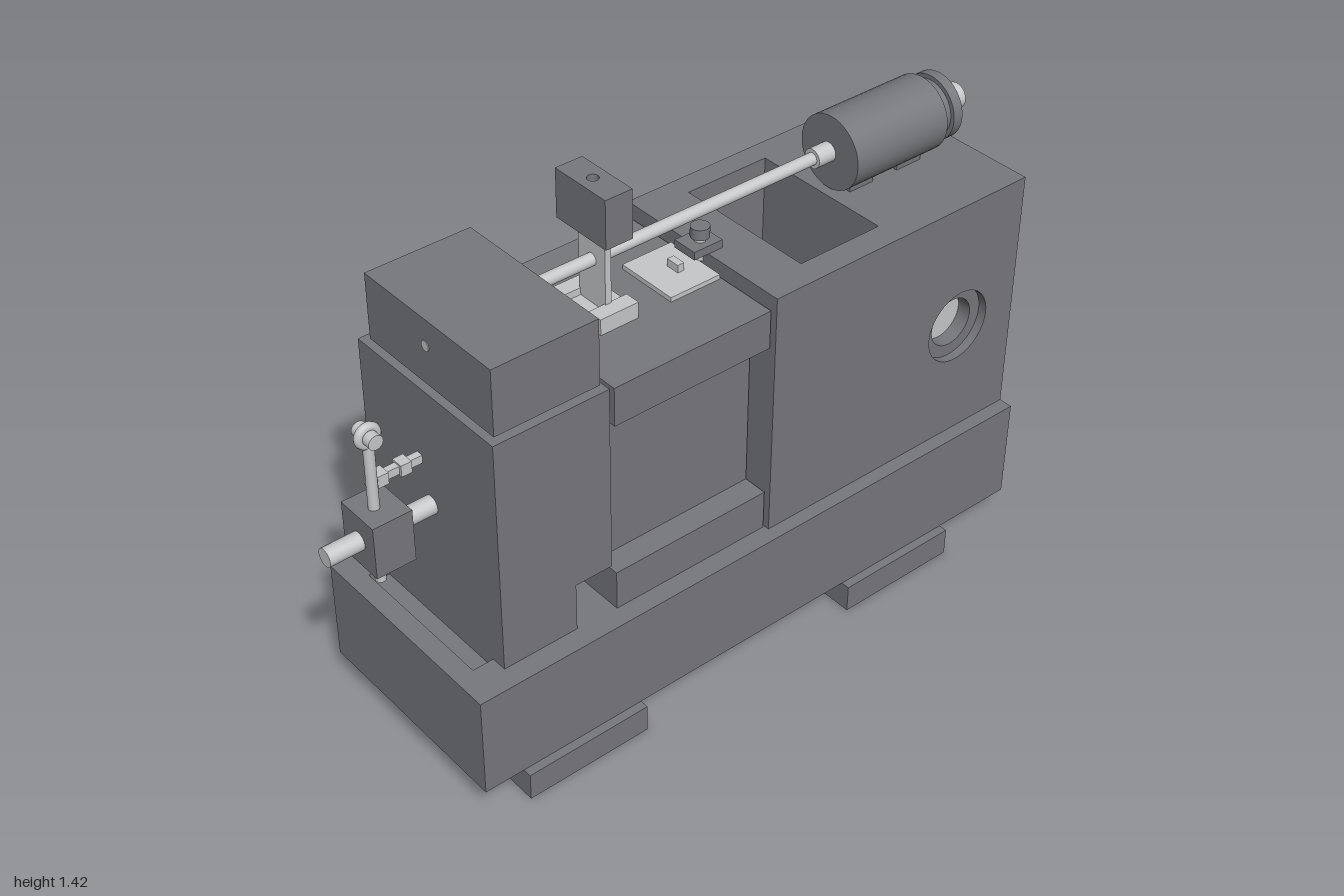
import * as THREE from 'three';

export function createModel() {
  const model = new THREE.Group();
  model.name = 'machine';
  const dark = new THREE.MeshStandardMaterial({ color: 0x77787c });
  dark.name = 'dark grey casing';
  const light = new THREE.MeshStandardMaterial({ color: 0xc6c8c9 });
  light.name = 'light steel';

  const add = (name, geo, mat) => {
    const m = new THREE.Mesh(geo, mat);
    m.name = name;
    model.add(m);
    return m;
  };
  // Box given by its extents
  const box = (name, mat, x0, x1, y0, y1, z0, z1) =>
    add(name, new THREE.BoxGeometry(x1 - x0, y1 - y0, z1 - z0), mat)
      .position.set((x0 + x1) / 2, (y0 + y1) / 2, (z0 + z1) / 2);
  // Cylinder along an axis from a to b; p and q are the other two coordinates in xyz order
  const rod = (name, mat, axis, r, a, b, p, q) => {
    const g = new THREE.CylinderGeometry(r, r, b - a, 40);
    const m = add(name, g, mat), c = (a + b) / 2;
    if (axis === 'x') { g.rotateZ(-Math.PI / 2); m.position.set(c, p, q); }
    if (axis === 'y') m.position.set(p, c, q);
    if (axis === 'z') { g.rotateX(Math.PI / 2); m.position.set(p, q, c); }
  };
  const rect = (C, x0, x1, y0, y1) => {
    const s = new C();
    s.moveTo(x0, y0); s.lineTo(x1, y0); s.lineTo(x1, y1); s.lineTo(x0, y1); s.closePath();
    return s;
  };
  const disc = (C, x, y, r) => {
    const s = new C();
    s.absarc(x, y, r, 0, Math.PI * 2, false);
    return s;
  };
  const plate = (outline, holes, depth) => {
    outline.holes.push(...holes);
    return new THREE.ExtrudeGeometry(outline, { depth, bevelEnabled: false, curveSegments: 32 });
  };
  const { Shape, Path } = THREE;
  const axisZ = 0.02;

  // Feet, each with a bolt hole underneath
  for (const [x0, x1] of [[-0.7, -0.33], [0.365, 0.735]]) {
    const g = plate(rect(Shape, x0, x1, -0.37, 0.32), [disc(Path, (x0 + x1) / 2, -axisZ, 0.016)], 0.08);
    add('foot', g.rotateX(-Math.PI / 2), dark);
    rod('footBolt', light, 'y', 0.0155, 0.01, 0.08, (x0 + x1) / 2, axisZ);
  }

  // Base with a shallow tray at its end
  box('base', dark, -0.815, 0.98, 0.08, 0.345, -0.29, 0.345);
  const rim = plate(rect(Shape, -0.815, 0.98, -0.345, 0.29), [rect(Path, -0.76, -0.5, -0.24, 0.2)], 0.03);
  add('baseRim', rim.rotateX(-Math.PI / 2), dark).position.y = 0.345;

  // End column with a front lower notch, and the head box above it
  box('columnUpper', dark, -0.7, -0.37, 0.515, 1.05, -0.245, 0.285);
  box('columnLower', dark, -0.7, -0.48, 0.345, 0.515, -0.245, 0.285);
  box('columnLowerBack', dark, -0.48, -0.37, 0.345, 0.515, -0.245, 0.16);
  box('headSpacer', dark, -0.67, -0.4, 1.05, 1.06, -0.2, 0.255);
  box('headBox', dark, -0.685, -0.385, 1.06, 1.245, -0.215, 0.27);
  rod('headPlug', light, 'x', 0.014, -0.687, -0.68, 1.17, axisZ);
  for (const y of [0.8, 0.64]) rod('columnBolt', light, 'z', 0.02, -0.285, -0.245, -0.43, y);

  // Discharge chute at the back
  box('chuteFloor', dark, -0.48, -0.37, 0.38, 0.392, -0.31, -0.245);
  for (const x of [-0.48, -0.382]) box('chuteSide', dark, x, x + 0.012, 0.392, 0.5, -0.31, -0.245);

  // Middle section: waist between two wider slabs
  box('middleBottomSlab', dark, -0.36, 0.12, 0.375, 0.49, -0.25, 0.29);
  box('middleWaist', dark, -0.36, 0.12, 0.49, 0.94, -0.18, 0.22);
  box('middleTopSlab', dark, -0.36, 0.12, 0.94, 1.05, -0.25, 0.29);
  rod('columnFlange', dark, 'x', 0.145, -0.37, -0.36, 0.715, axisZ);
  for (const y of [0.86, 0.72]) rod('sideBolt', light, 'x', 0.018, 0.095, 0.125, y, -0.21);

  // Gearbox: side masses around an open pocket, bored front, framed back
  box('gearboxInnerSide', dark, 0.125, 0.27, 0.375, 1.09, -0.19, 0.23);
  box('gearboxOuterSide', dark, 0.53, 0.98, 0.375, 1.09, -0.19, 0.23);
  box('gearboxPocketFloor', dark, 0.27, 0.53, 0.375, 0.5, -0.19, 0.23);
  box('gearboxBackWall', dark, 0.125, 0.98, 0.375, 1.09, -0.215, -0.19);
  const wall = () => rect(Shape, 0.125, 0.98, 0.375, 1.09);
  add('gearboxFront', plate(wall(), [disc(Path, 0.775, 0.715, 0.07)], 0.05), dark).position.z = 0.23;
  add('gearboxFrontFace', plate(wall(), [disc(Path, 0.775, 0.715, 0.105)], 0.025), dark).position.z = 0.28;
  rod('frontShaftEnd', light, 'z', 0.0695, 0.225, 0.24, 0.775, 0.715);
  add('gearboxBackFrame', plate(wall(), [rect(Path, 0.17, 0.92, 0.48, 1.035)], 0.04), dark).position.z = -0.255;
  for (const x of [0.23, 0.86]) for (const y of [0.55, 0.975])
    rod('backCoverBolt', light, 'z', 0.018, -0.25, -0.215, x, y);
  add('backCoverPlate', plate(rect(Shape, 0.35, 0.65, 0.57, 0.87), [disc(Path, 0.5, 0.72, 0.014)], 0.012), dark)
    .position.z = -0.227;

  // Parts inside the pocket
  box('pocketBlock', light, 0.271, 0.529, 0.5, 0.74, -0.09, 0.13);
  rod('pocketShaft', light, 'z', 0.05, -0.14, 0.15, 0.4, 0.7);
  rod('pocketPin', light, 'z', 0.025, -0.14, -0.09, 0.49, 0.7);

  // Handwheel with four holes and a stepped hollow hub
  const holes = [disc(Path, 0, 0, 0.05)];
  for (let i = 0; i < 4; i++)
    holes.push(disc(Path, 0.115 * Math.cos(i * Math.PI / 2), 0.115 * Math.sin(i * Math.PI / 2), 0.026));
  add('handwheel', plate(disc(Shape, 0, 0, 0.175), holes, 0.035), light).position.set(0.775, 0.715, -0.308);
  rod('handwheelShaft', light, 'z', 0.05, -0.3, -0.215, 0.775, 0.715);
  const hub = [[0.08, 0], [0.08, 0.02], [0.055, 0.02], [0.055, 0.067], [0.03, 0.067], [0.03, 0.03], [0, 0.03]];
  const hubPoints = hub.flatMap(([r, h], i) => {
    const p = new THREE.Vector2(r, h);
    return i ? [p, p.clone()] : [p];
  });
  const hubGeo = new THREE.LatheGeometry(hubPoints, 40).toNonIndexed();
  hubGeo.computeVertexNormals();
  add('handwheelHub', hubGeo.rotateX(-Math.PI / 2), light).position.set(0.775, 0.715, -0.306);

  // Motor, its mounts and the drive rod to the head
  for (const [x0, x1] of [[0.585, 0.665], [0.75, 0.835]]) box('motorMount', dark, x0, x1, 1.09, 1.13, -0.025, 0.07);
  rod('motorBody', dark, 'x', 0.103, 0.55, 0.865, 1.2, 0.025);
  rod('motorNeck', dark, 'x', 0.08, 0.865, 0.9, 1.2, 0.025);
  rod('motorEndDisc', dark, 'x', 0.092, 0.9, 0.93, 1.2, 0.025);
  rod('motorStub', light, 'x', 0.026, 0.93, 0.965, 1.2, 0.025);
  rod('motorKnob', light, 'x', 0.036, 0.965, 1.0, 1.2, 0.025);
  rod('driveCoupling', light, 'x', 0.027, 0.495, 0.55, 1.2, axisZ);
  rod('driveRod', light, 'x', 0.017, -0.385, 0.495, 1.2, axisZ);

  // Upright sensor post
  box('postBase', light, -0.255, -0.14, 1.05, 1.075, -0.07, 0.11);
  for (const z of [-0.07, 0.065]) box('postClamp', light, -0.255, -0.14, 1.075, 1.095, z, z + 0.045);
  box('postStem', light, -0.208, -0.19, 1.05, 1.29, -0.03, 0.07);
  const head = plate(rect(Shape, -0.24, -0.16, -0.115, 0.07), [disc(Path, -0.2, -axisZ, 0.015)], 0.135);
  add('postHead', head.rotateX(-Math.PI / 2), dark).position.y = 1.285;

  // Top cover plate with its small fitting
  box('topPlate', light, -0.04, 0.115, 1.05, 1.063, -0.075, 0.11);
  box('topPlateStep', light, 0.04, 0.06, 1.063, 1.085, 0.0, 0.04);
  box('fittingBlock', dark, 0.08, 0.17, 1.09, 1.113, -0.02, 0.055);
  rod('fittingStem', light, 'y', 0.015, 1.06, 1.13, 0.127, axisZ);
  rod('fittingCap', dark, 'y', 0.025, 1.125, 1.155, 0.127, axisZ);

  // End shaft with its clamp block and lever
  rod('endShaft', light, 'x', 0.025, -1.0, -0.7, 0.715, axisZ);
  box('clampBlock', dark, -0.905, -0.795, 0.64, 0.79, -0.045, 0.085);
  rod('leverRod', light, 'y', 0.014, 0.57, 0.98, -0.857, axisZ);
  const eye = new THREE.TorusGeometry(0.024, 0.012, 12, 32);
  add('leverEye', eye, light).position.set(-0.857, 1.0, axisZ);
  rod('leverPin', light, 'z', 0.02, -0.015, 0.055, -0.857, 1.0);
  box('stopArm', light, -0.85, -0.7, 0.825, 0.848, -0.025, -0.005);
  for (const x of [-0.83, -0.765]) box('stopArmLug', light, x, x + 0.03, 0.82, 0.853, -0.033, 0.003);

  return model;
}
